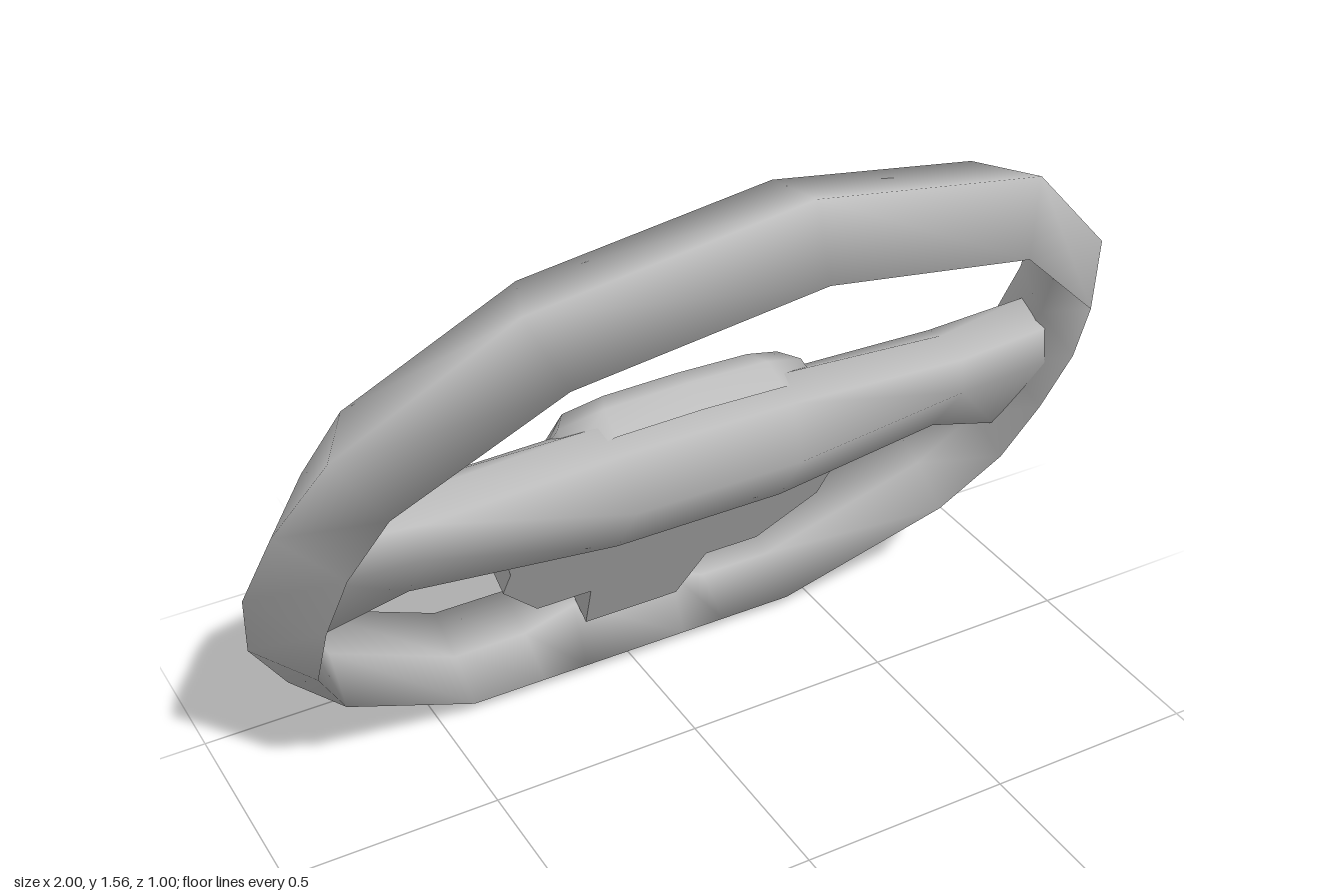
import * as THREE from 'three';

// Skin a list of rings (arrays of [x, y, z]) with smooth shading.
function loft(rings, closed) {
  const n = rings[0].length, m = rings.length, index = [];
  for (let i = 0; i < (closed ? m : m - 1); i++) {
    const a = i * n, b = ((i + 1) % m) * n;
    for (let j = 0; j < n; j++) {
      const k = (j + 1) % n;
      index.push(a + j, b + j, a + k, b + j, b + k, a + k);
    }
  }
  const g = new THREE.BufferGeometry();
  g.setAttribute('position', new THREE.Float32BufferAttribute(rings.flat(2), 3));
  g.setIndex(index);
  g.computeVertexNormals();
  return g;
}

export function createModel() {
  const grey = new THREE.MeshStandardMaterial({ color: 0xbcbcbc });
  grey.name = 'grey';
  const model = new THREE.Group();
  model.name = 'steeringWheel';
  // Everything is built upright in the wheel's plane, then tilted forward.
  const wheel = new THREE.Group();
  wheel.name = 'tiltedWheel';
  wheel.rotation.x = Math.PI / 6;
  wheel.position.y = 0.78;
  model.add(wheel);
  const add = (name, geometry) => {
    const mesh = new THREE.Mesh(geometry, grey);
    mesh.name = name;
    wheel.add(mesh);
  };

  // Rim stations, top to bottom: outer x, y, inner edge x, y, inner ridge x, y
  const half = [
    [0, 0.9, 0, 0.795, 0, 0.785],
    [0.56, 0.76, 0.5, 0.67, 0.49, 0.66],
    [0.88, 0.404, 0.8, 0.355, 0.79, 0.35],
    [0.965, 0.16, 0.855, 0.14, 0.84, 0.14],
    [1.0, -0.09, 0.87, -0.09, 0.845, -0.09],
    [0.965, -0.35, 0.86, -0.32, 0.85, -0.32],
    [0.85, -0.6, 0.77, -0.53, 0.765, -0.51],
    [0.44, -0.9, 0.42, -0.788, 0.42, -0.782],
    [0.24, -0.9, 0.24, -0.788, 0.24, -0.78],
    [0.13, -0.9, 0.13, -0.788, 0.13, -0.7],
  ];
  const flip = s => s.map((v, i) => (i % 2 ? v : -v));
  const stations = [...half, ...half.slice(1).reverse().map(flip)];
  add('rim', loft(stations.map(([ox, oy, ix, iy, rx, ry]) => [
    [ox, oy, 0], [ix, iy, -0.122], [rx, ry, 0], [ix, iy, 0.122],
  ]), true));

  // Cross bar: sections of [y, z] that flare out where they meet the rim
  const sections = [
    [0.2, [[0.1, 0.02], [0.09, -0.06], [0, -0.11], [-0.11, -0.11], [-0.18, 0], [-0.145, 0.11], [0.02, 0.12]]],
    [0.65, [[0.06, 0.02], [0.04, -0.06], [0, -0.1], [-0.08, -0.11], [-0.19, -0.03], [-0.18, 0.05], [0, 0.07]]],
    [0.86, [[0.12, 0.03], [0.09, -0.07], [0, -0.1], [-0.2, -0.09], [-0.29, -0.03], [-0.28, 0.05], [0.04, 0.075]]],
  ];
  const bar = side => ([x, pts]) => pts.map(([y, z]) => [side * x, y, z]);
  add('crossBar', loft([...[...sections].reverse().map(bar(-1)), ...sections.map(bar(1))], false));

  // Flat plate with a stem that reaches the bottom of the rim
  const edge = [[0.36, 0.04], [0.43, -0.18], [0.4, -0.27], [0.4, -0.36], [0.285, -0.515], [0.15, -0.515], [0.12, -0.7]];
  const outline = [...edge, ...[...edge].reverse().map(([x, y]) => [-x, y])];
  const shape = new THREE.Shape(outline.map(([x, y]) => new THREE.Vector2(x, y)));
  const plate = new THREE.ExtrudeGeometry(shape, { depth: 0.1, bevelEnabled: false });
  plate.translate(0, 0, -0.05);
  add('hubPlate', plate);

  // Domed pad on the back, leaning slightly outward towards its lower end
  const right = [[0.12, -0.335], [0.21, -0.26], [0.31, -0.08], [0.3, 0.06], [0.2, 0.1]];
  const pad = [[0, -0.35], ...right, [0, 0.11], ...[...right].reverse().map(([x, y]) => [-x, y])];
  const layers = [[1, -0.03], [0.98, -0.1], [0.87, -0.14], [0.5, -0.158], [0.01, -0.162]];
  add('hubPad', loft(layers.map(([s, z]) => pad.map(([x, y]) => {
    const py = -0.12 + (y + 0.12) * s;
    return [x * s, py, z + 0.07 * py];
  })), false));

  return model;
}
